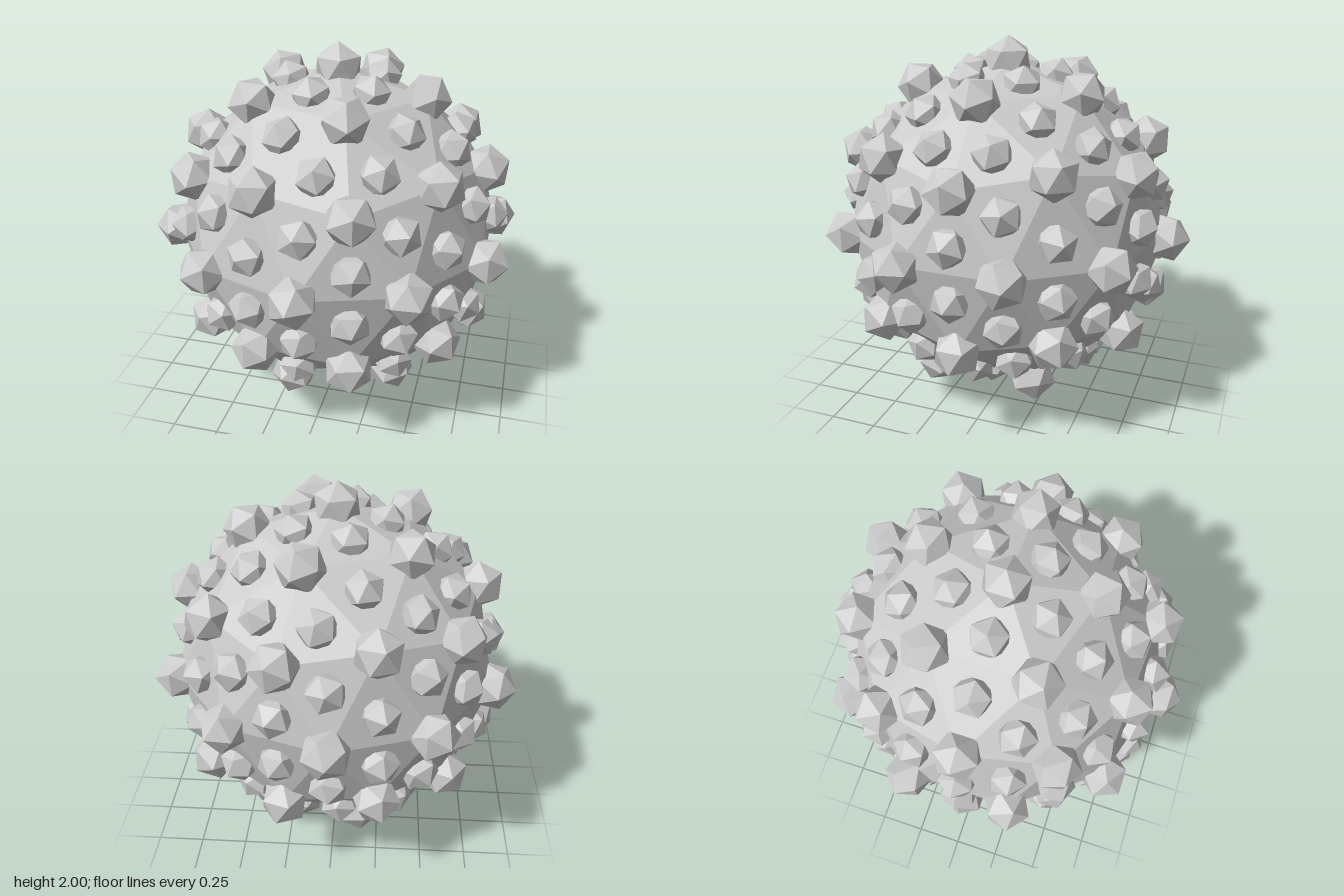
import * as THREE from 'three';

const CENTRE_Y = 1;
const BODY_R = 0.87;
const LARGE_R = 0.13;
const SMALL_R = 0.107;
const UP = new THREE.Vector3(0, 1, 0);

// Icosahedron turned so that one corner points straight up
function icosahedron(radius, detail = 0) {
  const geo = new THREE.IcosahedronGeometry(radius, detail);
  geo.rotateZ(-Math.atan(2 / (1 + Math.sqrt(5))));
  geo.computeVertexNormals();
  return geo;
}

export function createModel() {
  const model = new THREE.Group();
  model.name = 'studdedBall';
  const material = new THREE.MeshStandardMaterial({ color: 0xcccccc, flatShading: true });

  // Faceted core of 80 triangles
  const bodyGeo = icosahedron(BODY_R, 1);
  const body = new THREE.Mesh(bodyGeo, material);
  body.name = 'body';
  body.position.y = CENTRE_Y;
  model.add(body);

  // Corners and face centres of the core
  const pos = bodyGeo.attributes.position;
  const corners = new Map();
  const centres = [];
  for (let i = 0; i < pos.count; i += 3) {
    const centre = new THREE.Vector3();
    for (let k = 0; k < 3; k++) {
      const p = new THREE.Vector3().fromBufferAttribute(pos, i + k);
      centre.addScaledVector(p, 1 / 3);
      corners.set(p.toArray().map((c) => Math.round(c * 1000) + 0).join(), p);
    }
    centres.push(centre);
  }

  // Studs stand with one corner pointing outward
  function addStuds(points, radius, name) {
    const group = new THREE.Group();
    group.name = name + 's';
    group.position.y = CENTRE_Y;
    const geo = icosahedron(radius);
    for (const p of points) {
      const stud = new THREE.Mesh(geo, material);
      stud.name = name;
      stud.position.copy(p);
      stud.quaternion.setFromUnitVectors(UP, p.clone().normalize());
      group.add(stud);
    }
    model.add(group);
  }
  addStuds([...corners.values()], LARGE_R, 'cornerStud');
  addStuds(centres, SMALL_R, 'faceStud');

  return model;
}
